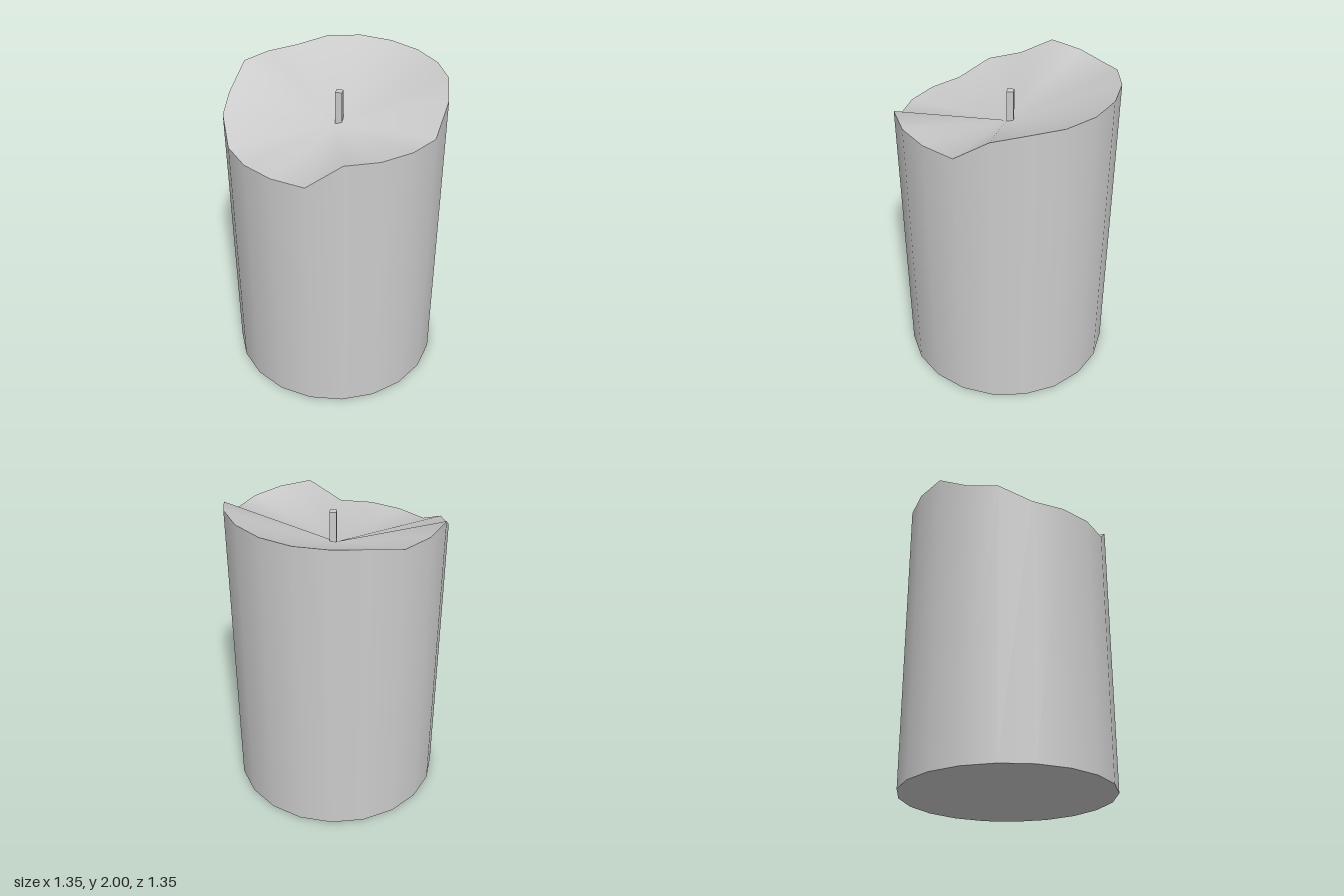
import * as THREE from 'three';

const SIDES = 20;
const RADIUS = 0.675;
// Rim height at each corner, starting at the front (+z) and turning towards +x
const RIM = [
  1.685, 1.84, 1.835, 1.83, 1.82, 1.96, 2, 2, 2, 2,
  2, 1.99, 1.945, 1.95, 1.96, 1.84, 1.80, 1.695, 1.69, 1.69,
];
const POOL_Y = 1.71;

// Smooth fan from the melted middle out to the uneven rim
function meltedTop() {
  const points = [0, POOL_Y, 0];
  const index = [];
  RIM.forEach((y, k) => {
    const a = (k / SIDES) * Math.PI * 2;
    points.push(RADIUS * Math.sin(a), y, RADIUS * Math.cos(a));
    index.push(0, k + 1, ((k + 1) % SIDES) + 1);
  });
  const geo = new THREE.BufferGeometry();
  geo.setAttribute('position', new THREE.Float32BufferAttribute(points, 3));
  geo.setIndex(index);
  geo.computeVertexNormals();
  return geo;
}

// Open tube whose upper ring follows the rim heights
function wallGeometry() {
  const geo = new THREE.CylinderGeometry(RADIUS, RADIUS, 2, SIDES, 1, true);
  geo.translate(0, 1, 0);
  const pos = geo.attributes.position;
  for (let k = 0; k <= SIDES; k++) pos.setY(k, RIM[k % SIDES]);
  return geo;
}

export function createModel() {
  const candle = new THREE.Group();
  candle.name = 'candle';
  const grey = new THREE.MeshStandardMaterial({ color: 0xcccccc });

  const add = (name, geometry) => {
    const mesh = new THREE.Mesh(geometry, grey);
    mesh.name = name;
    candle.add(mesh);
    return mesh;
  };

  add('waxWall', wallGeometry());
  add('meltedTop', meltedTop());
  add('base', new THREE.CircleGeometry(RADIUS, SIDES).rotateX(Math.PI / 2));

  // Square wick, slightly off centre
  add('wick', new THREE.BoxGeometry(0.042, 0.225, 0.042)).position.set(0.018, 1.8125, -0.024);

  return candle;
}
